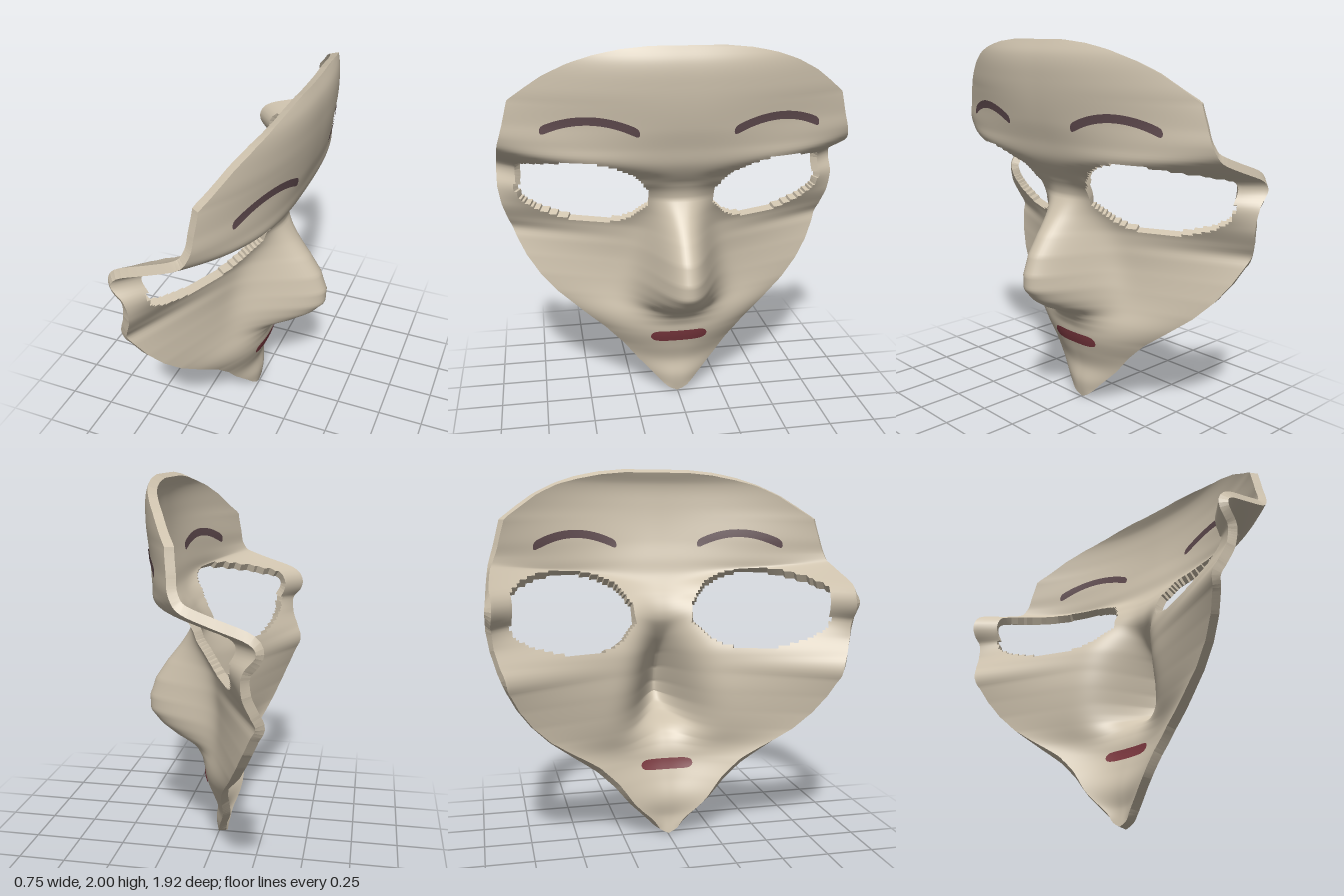
import * as THREE from 'three';

const THICK = 0.045, ROWS = 140, COLS = 132;

// Interpolated curve over height from flat [y, value, y, value, ...] pairs
function curve(pairs, Type = THREE.CubicInterpolant) {
  const ys = pairs.filter((_, i) => i % 2 === 0);
  const vs = pairs.filter((_, i) => i % 2 === 1);
  const f = new Type(ys, vs, 1, new Float32Array(1));
  return y => f.evaluate(Math.min(Math.max(y, ys[0]), ys[ys.length - 1]))[0];
}

// Half-width of the mask outline
const halfWidth = curve([0, 0, 0.02, 0.045, 0.05, 0.08, 0.1, 0.125, 0.2, 0.22, 0.3, 0.3, 0.4, 0.4, 0.5, 0.53,
  0.6, 0.655, 0.7, 0.75, 0.8, 0.82, 0.9, 0.87, 1, 0.91, 1.1, 0.94, 1.2, 0.957, 1.3, 0.96, 1.4, 0.947, 1.5, 0.93,
  1.6, 0.9, 1.73, 0.867, 1.8, 0.775, 1.86, 0.69, 1.92, 0.57, 1.96, 0.45, 1.985, 0.33, 2, 0.18], THREE.LinearInterpolant);
// Depth on the centre line without the nose, depth at the rim, and bow between them
const centre = curve([0, -0.005, 0.1, 0.01, 0.2, 0, 0.3, 0.03, 0.4, 0.06, 0.5, 0.07, 0.6, 0.06, 0.8, 0.05, 0.95, 0.06,
  1.03, 0.07, 1.2, 0.11, 1.25, 0.14, 1.3, 0.185, 1.4, 0.25, 1.5, 0.275, 1.6, 0.3, 1.8, 0.325, 1.93, 0.32, 2, 0.29]);
const rim = curve([0, -0.015, 0.1, -0.05, 0.2, -0.08, 0.4, -0.115, 0.6, -0.19, 0.8, -0.275, 0.9, -0.32, 0.95, -0.345,
  1, -0.325, 1.1, -0.29, 1.22, -0.31, 1.3, -0.375, 1.35, -0.335, 1.4, -0.2, 1.46, -0.035, 1.52, 0.02, 1.62, 0.04,
  1.75, 0.05, 1.85, 0.035, 2, 0]);
const bow = curve([0, 1.5, 0.2, 1.6, 0.4, 1.9, 0.6, 1.15, 0.8, 1.05, 0.95, 1.12, 1.03, 1.08, 1.1, 1.25, 1.2, 1.85,
  1.28, 1.9, 1.34, 1.9, 1.38, 2.5, 1.43, 3.1, 1.5, 2.5, 1.6, 2.1, 1.8, 2.2, 2, 2.3]);
const noseHeight = curve([0, 0, 0.45, 0, 0.5, 0.02, 0.55, 0.07, 0.6, 0.19, 0.65, 0.27, 0.72, 0.335, 0.8, 0.34,
  0.9, 0.3, 1, 0.225, 1.1, 0.13, 1.2, 0.04, 1.3, 0, 2, 0], THREE.LinearInterpolant);
const noseWidth = curve([0, 0.19, 0.55, 0.19, 0.68, 0.185, 0.8, 0.172, 1, 0.15, 1.2, 0.135, 2, 0.135]);

// Front surface: depth x for a height y and sideways position z
function depth(y, z) {
  const s = Math.abs(z);
  const soft = Math.sqrt(s * s + 0.0016) - 0.04;
  const ref = y > 1.73 ? 0.867 : Math.max(halfWidth(y), 0.08);
  const c = centre(y);
  return c + (rim(y) - c) * Math.pow(soft / ref, bow(y))
    + noseHeight(y) * Math.exp(-Math.pow(s / noseWidth(y), 2.5));
}

// Point on the sheet, moved by off along the surface normal
function sheetPoint(y, z, off) {
  const d = 0.012;
  const y0 = Math.max(y - d, 0), y1 = Math.min(y + d, 2);
  const n = new THREE.Vector3(1, -(depth(y1, z) - depth(y0, z)) / (y1 - y0),
    -(depth(y, z + d) - depth(y, z - d)) / (2 * d)).normalize();
  const p = new THREE.Vector3(depth(y, z), y, z).addScaledVector(n, off);
  p.y = Math.min(Math.max(p.y, 0), 2);
  return p;
}

// Eye opening as [z, y] corners, mirrored by using |z|
const eye = [[0.17, 1.2], [0.18, 1.26], [0.25, 1.34], [0.33, 1.39], [0.42, 1.42], [0.55, 1.43], [0.68, 1.415],
  [0.79, 1.38], [0.86, 1.33], [0.865, 1.2], [0.84, 1.14], [0.76, 1.09], [0.68, 1.06], [0.58, 1.035], [0.45, 1.025],
  [0.33, 1.04], [0.25, 1.08], [0.18, 1.16]];
function inEye(z, y) {
  const s = Math.abs(z);
  let inside = false;
  eye.forEach(([az, ay], i) => {
    const [bz, by] = eye[(i + 1) % eye.length];
    if ((ay > y) !== (by > y) && s < az + (y - ay) / (by - ay) * (bz - az)) inside = !inside;
  });
  return inside;
}

function makeGeometry(pos, index) {
  const g = new THREE.BufferGeometry();
  g.setAttribute('position', new THREE.Float32BufferAttribute(pos, 3));
  g.setIndex(index);
  g.computeVertexNormals();
  return g;
}

// Front and back sheets plus walls round the outline and the eye openings
function shellGeometries() {
  const pos = [], sheet = [], wallPos = [], wallIndex = [];
  const zAt = (i, j) => halfWidth(2 * i / ROWS) * (2 * j / COLS - 1);
  for (const off of [0, -THICK])
    for (let i = 0; i <= ROWS; i++)
      for (let j = 0; j <= COLS; j++) pos.push(...sheetPoint(2 * i / ROWS, zAt(i, j), off).toArray());
  const id = (i, j) => i * (COLS + 1) + j, back = (ROWS + 1) * (COLS + 1);
  const solid = (i, j) => i >= 0 && j >= 0 && i < ROWS && j < COLS &&
    !inEye((zAt(i, j) + zAt(i + 1, j + 1)) / 2, 2 * (i + 0.5) / ROWS);
  const wall = (a, b) => {
    const k = wallPos.length / 3;
    for (const v of [a, b, b + back, a + back]) wallPos.push(pos[3 * v], pos[3 * v + 1], pos[3 * v + 2]);
    wallIndex.push(k, k + 2, k + 1, k, k + 3, k + 2);
  };
  for (let i = 0; i < ROWS; i++)
    for (let j = 0; j < COLS; j++) {
      if (!solid(i, j)) continue;
      const a = id(i, j), b = id(i + 1, j), c = id(i + 1, j + 1), d = id(i, j + 1);
      sheet.push(a, b, c, a, c, d);
      sheet.push(a + back, c + back, b + back, a + back, d + back, c + back);
      if (!solid(i, j - 1)) wall(a, b);
      if (!solid(i + 1, j)) wall(b, c);
      if (!solid(i, j + 1)) wall(c, d);
      if (!solid(i - 1, j)) wall(d, a);
    }
  return [makeGeometry(pos, sheet), makeGeometry(wallPos, wallIndex)];
}

// Painted band following the sheet, of even width with rounded ends
function paintBand(zFrom, zTo, yAt, half, round, off) {
  const pos = [], index = [], N = 48, M = 4;
  for (let i = 0; i <= N; i++) {
    const u = Math.sin((i / N - 0.5) * Math.PI);
    const z = THREE.MathUtils.lerp(zFrom, zTo, (u + 1) / 2);
    const slope = (yAt(z + 0.01) - yAt(z - 0.01)) / 0.02;
    const h = half * Math.hypot(1, slope) * Math.sqrt(1 - Math.pow(Math.abs(u), round));
    for (let k = 0; k <= M; k++) pos.push(...sheetPoint(yAt(z) + h * (2 * k / M - 1), z, off).toArray());
  }
  for (let i = 0; i < N; i++)
    for (let k = 0; k < M; k++) {
      const a = i * (M + 1) + k, b = a + M + 1;
      index.push(a, a + 1, b + 1, a, b + 1, b);
    }
  return makeGeometry(pos, index);
}

export function createModel() {
  const clay = new THREE.MeshStandardMaterial({ color: 0xcfc3ae, side: THREE.DoubleSide });
  const browPaint = new THREE.MeshStandardMaterial({ color: 0x5f4a4e, side: THREE.DoubleSide });
  const lipPaint = new THREE.MeshStandardMaterial({ color: 0x7c383f, side: THREE.DoubleSide });
  clay.name = 'clay';
  browPaint.name = 'browPaint';
  lipPaint.name = 'lipPaint';

  const model = new THREE.Group();
  model.name = 'mask';
  const add = (name, geometry, material) => {
    const mesh = new THREE.Mesh(geometry, material);
    mesh.name = name;
    model.add(mesh);
  };

  const [faceSheet, edges] = shellGeometries();
  add('faceSheet', faceSheet, clay);
  add('edgeWalls', edges, clay);

  // Brows and lips show on the outside and the inside
  const browLine = z => 1.645 - 0.057 * Math.pow((Math.abs(z) - 0.48) / 0.23, 2);
  for (const [where, off] of [['Outer', 0.005], ['Inner', -THICK - 0.005]]) {
    add('backBrow' + where, paintBand(-0.715, -0.235, browLine, 0.021, 30, off), browPaint);
    add('frontBrow' + where, paintBand(0.235, 0.715, browLine, 0.021, 30, off), browPaint);
    add('lips' + where, paintBand(-0.157, 0.157, () => 0.38, 0.033, 8, off), lipPaint);
  }
  return model;
}
